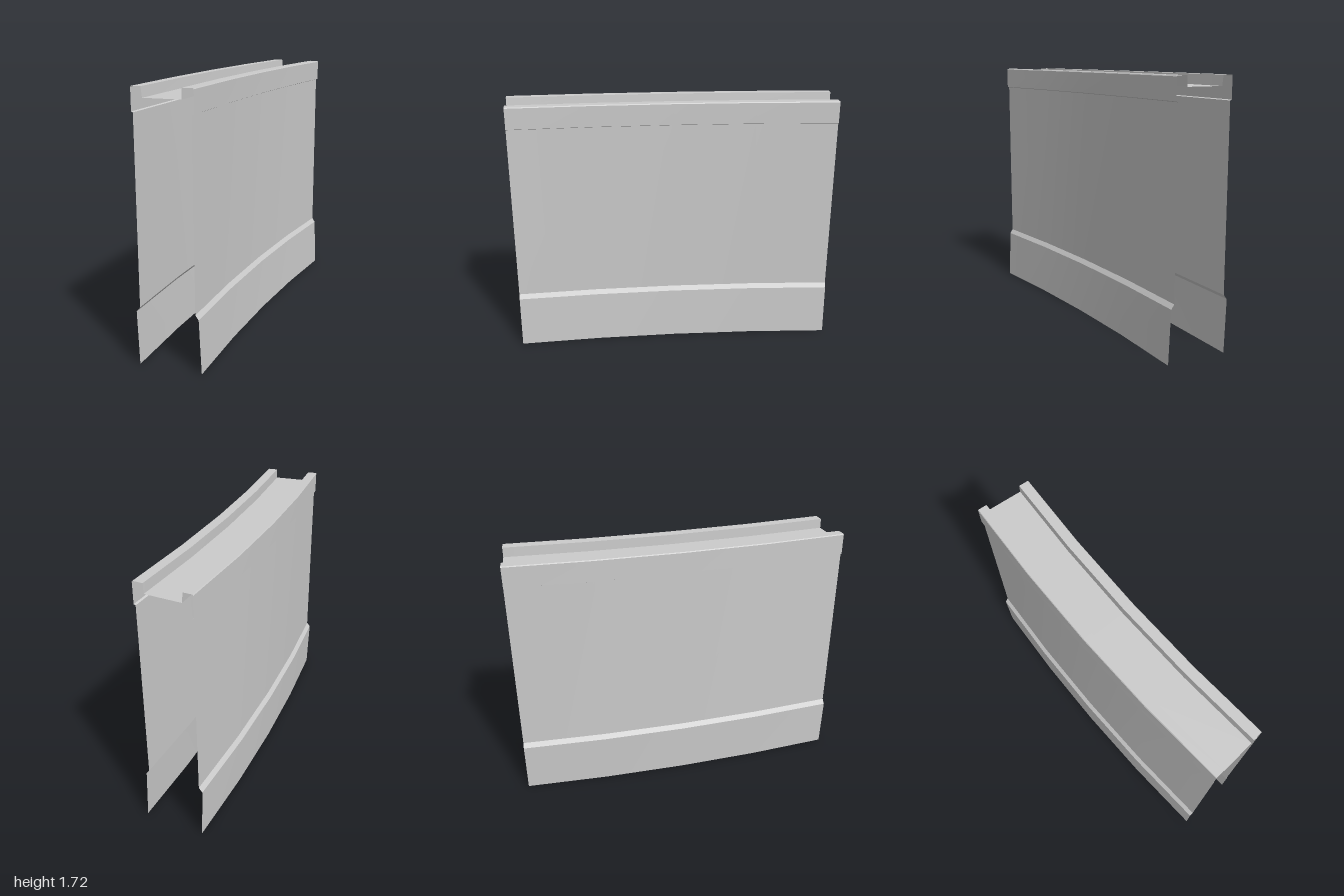
import * as THREE from 'three';
import { toCreasedNormals } from 'three/addons/utils/BufferGeometryUtils.js';

// Plan of the curved wall: arc centre, radius of the inner face, angles of both ends
const CENTRE = { x: 8.8, z: 10.8 };
const RADIUS = 13.78;
const START = THREE.MathUtils.degToRad(46.2);
const END = THREE.MathUtils.degToRad(55.4);
const SEGMENTS = 4;

// Sweeps an open profile of [distance outward from inner face, height] along the arc
function sweep(profile) {
  const positions = [];
  const indices = [];
  const n = profile.length;
  for (let i = 0; i <= SEGMENTS; i++) {
    const a = START + ((END - START) * i) / SEGMENTS;
    for (const [d, y] of profile) {
      const r = RADIUS + d;
      positions.push(CENTRE.x - r * Math.cos(a), y, CENTRE.z - r * Math.sin(a));
    }
  }
  for (let i = 0; i < SEGMENTS; i++) {
    for (let j = 0; j < n - 1; j++) {
      const p = i * n + j;
      const q = p + n;
      indices.push(p, q, q + 1, p, q + 1, p + 1);
    }
  }
  const geometry = new THREE.BufferGeometry();
  geometry.setAttribute('position', new THREE.Float32BufferAttribute(positions, 3));
  geometry.setIndex(indices);
  return toCreasedNormals(geometry, 0.3);
}

export function createModel() {
  const group = new THREE.Group();
  group.name = 'curvedWallSection';
  const material = new THREE.MeshStandardMaterial({ color: 0xcccccc, side: THREE.DoubleSide });

  const parts = {
    // Sloped plinths with a bevelled top edge
    frontPlinth: [[-0.036, 0], [-0.021, 0.35], [0, 0.38]],
    backPlinth: [[0.363, 0.38], [0.387, 0.35], [0.375, 0]],
    // Plain faces; the ends and underside stay open
    frontFace: [[0, 0.38], [0, 1.57]],
    backFace: [[0.363, 1.57], [0.363, 0.38]],
    // Overhanging walkway with a low lip on each side
    walkway: [
      [0, 1.57], [-0.013, 1.575], [-0.013, 1.714], [-0.009, 1.72],
      [0.058, 1.72], [0.06, 1.655],
      [0.302, 1.655], [0.309, 1.72],
      [0.37, 1.72], [0.374, 1.714], [0.374, 1.575], [0.363, 1.57],
    ],
  };

  for (const [name, profile] of Object.entries(parts)) {
    const mesh = new THREE.Mesh(sweep(profile), material);
    mesh.name = name;
    group.add(mesh);
  }
  return group;
}
